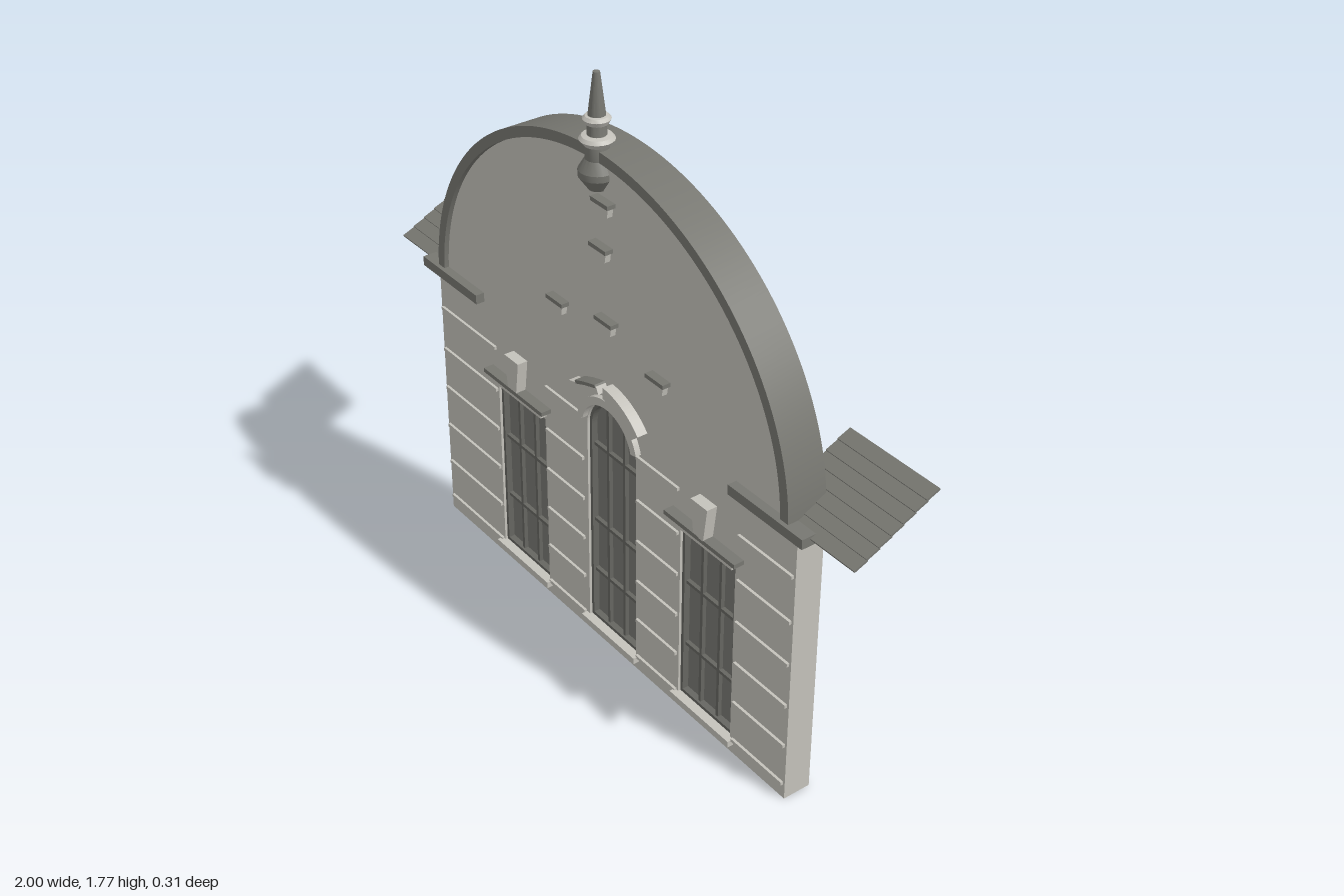
import * as THREE from 'three';
import { toCreasedNormals } from 'three/addons/utils/BufferGeometryUtils.js';

const mat = (name, color) => new THREE.MeshStandardMaterial({ name, color });

export function createModel() {
  const root = new THREE.Group();
  root.name = 'gabledFacade';
  const stone = mat('lightStone', 0xc4c2bb);
  const slate = mat('darkSlate', 0x777771);
  const glass = mat('windowGlass', 0x777772);
  const frame = mat('windowFrame', 0x666661);

  const add = (name, geo, material, parent = root) => {
    const m = new THREE.Mesh(geo, material);
    m.name = name;
    parent.add(m);
    return m;
  };
  // Box from its minimum and maximum corners
  const box = (name, material, x0, x1, y0, y1, z0, z1, parent) => {
    const m = add(name, new THREE.BoxGeometry(x1 - x0, y1 - y0, z1 - z0), material, parent);
    m.position.set((x0 + x1) / 2, (y0 + y1) / 2, (z0 + z1) / 2);
    return m;
  };
  // Shape extruded between two depths
  const slab = (name, material, shape, z0, z1, parent) => {
    const geo = new THREE.ExtrudeGeometry(shape, { depth: z1 - z0, bevelEnabled: false, curveSegments: 40 });
    geo.translate(0, 0, z0);
    return add(name, toCreasedNormals(geo, 0.5), material, parent);
  };
  const poly = (pts) => new THREE.Shape(pts.map(([x, y]) => new THREE.Vector2(x, y)));
  const rect = (x0, x1, y0, y1) => poly([[x0, y0], [x1, y0], [x1, y1], [x0, y1]]);

  const FRONT = 0.105;
  const windows = [
    { name: 'rightWindow', x0: -0.505, x1: -0.27, top: 0.615, bars: [0.22, 0.43] },
    { name: 'centreWindow', x0: -0.067, x1: 0.153, top: 0.82, bars: [0.214, 0.39, 0.647], arch: true },
    { name: 'leftWindow', x0: 0.347, x1: 0.573, top: 0.615, bars: [0.22, 0.43] },
  ];
  const opening = ({ x0, x1, top, arch }, inset = 0) => {
    const a = x0 + inset, b = x1 - inset, y0 = 0.05 + inset;
    if (!arch) return rect(a, b, y0, top - inset);
    const r = (b - a) / 2, spring = top - (x1 - x0) / 2;
    const s = new THREE.Shape();
    s.moveTo(a, y0);
    s.lineTo(b, y0);
    s.lineTo(b, spring);
    s.absarc((a + b) / 2, spring, r, 0, Math.PI, false);
    s.closePath();
    return s;
  };

  // Main wall with three openings
  const wall = rect(-0.8, 0.8, 0, 0.865);
  windows.forEach((w) => wall.holes.push(opening(w)));
  slab('wall', stone, wall, 0.02, FRONT);

  // Rounded gable and its dark rim
  const BASE = 0.865;
  const gable = new THREE.Shape();
  gable.moveTo(0.755, BASE);
  gable.absellipse(0, BASE, 0.755, 0.68, 0, Math.PI, false);
  gable.closePath();
  slab('gable', stone, gable, 0.016, FRONT);
  const rim = new THREE.Shape();
  rim.moveTo(0.78, BASE);
  rim.absellipse(0, BASE, 0.78, 0.705, 0, Math.PI, false);
  rim.lineTo(-0.75, BASE);
  rim.absellipse(0, BASE, 0.75, 0.675, Math.PI, 0, true);
  rim.closePath();
  slab('gableRim', slate, rim, 0, 0.12);

  // Windows: recessed glass, frame, glazing bars and sill
  for (const w of windows) {
    const g = new THREE.Group();
    g.name = w.name;
    root.add(g);
    const { x0, x1, top, arch } = w;
    slab('glass', glass, opening(w), 0.07, 0.078, g);
    const border = opening(w);
    border.holes.push(opening(w, 0.01));
    slab('frame', frame, border, 0.078, 0.097, g);
    for (const t of [1 / 3, 2 / 3]) {
      const x = x0 + (x1 - x0) * t;
      box('verticalBar', frame, x - 0.005, x + 0.005, 0.055, top - (arch ? 0.012 : 0.005), 0.078, 0.09, g);
    }
    for (const y of w.bars) box('crossBar', frame, x0, x1, y - 0.005, y + 0.005, 0.078, 0.09, g);
    box('sill', stone, x0 - 0.014, x1 + 0.014, 0.03, 0.05, FRONT - 0.01, 0.124, g);
    if (arch) continue;
    // Lintel and tapered keystone of the square-headed windows
    const c = (x0 + x1) / 2;
    box('lintel', stone, c - 0.123, c + 0.123, 0.628, 0.65, FRONT - 0.01, 0.126, g);
    box('lintelCap', slate, c - 0.145, c + 0.145, 0.65, 0.663, FRONT - 0.01, 0.137, g);
    slab('keystone', stone, poly([[c - 0.02, 0.66], [c + 0.02, 0.66], [c + 0.034, 0.765], [c - 0.034, 0.765]]),
      FRONT - 0.01, 0.137, g);
  }

  // Moulding over the arched window
  const band = (cx, cy, r0, r1, a0, a1) => {
    const s = new THREE.Shape();
    s.absarc(cx, cy, r1, a0, a1, false);
    s.absarc(cx, cy, r0, a1, a0, true);
    s.closePath();
    return s;
  };
  slab('archMoulding', stone, band(0.043, 0.71, 0.112, 0.136, 0.25, Math.PI - 0.25), FRONT - 0.01, 0.122);
  // Broken curved hood with an upturned left half
  slab('hoodRight', stone, band(0.043, 0.69, 0.175, 0.21, 0.71, 1.54), FRONT - 0.01, 0.137);
  slab('hoodLeft', stone, poly([[-0.105, 0.845], [-0.085, 0.83], [-0.03, 0.85], [0.03, 0.868],
    [0.02, 0.888], [-0.03, 0.872], [-0.085, 0.85]]), FRONT - 0.01, 0.137);
  slab('hoodLeftCap', slate, poly([[-0.07, 0.852], [-0.03, 0.868], [0.02, 0.884], [0.015, 0.892], [-0.035, 0.877],
    [-0.075, 0.861]]), FRONT - 0.01, 0.139);

  // Horizontal courses between the windows
  const spans = [[-0.79, -0.51], [-0.26, -0.083], [0.162, 0.34], [0.585, 0.793]];
  for (const y of [0.05, 0.18, 0.315, 0.452, 0.588, 0.73]) {
    for (const [a, b] of spans) box('course', stone, a, b, y - 0.005, y + 0.005, FRONT - 0.005, 0.113);
  }

  // Small capped brackets on the gable
  for (const [x, y] of [[0.03, 1.43], [0.019, 1.297], [0.04, 1.088], [-0.18, 1.047], [0.26, 1.022]]) {
    box('bracketCap', slate, x - 0.037, x + 0.037, y - 0.001, y + 0.011, FRONT - 0.01, 0.13);
    slab('bracket', stone, poly([[x - 0.024, y - 0.03], [x + 0.024, y - 0.03], [x + 0.029, y], [x - 0.029, y]]),
      FRONT - 0.01, 0.122);
  }

  // Eave blocks and sloping slatted side roofs
  for (const s of [-1, 1]) {
    const side = s > 0 ? 'left' : 'right';
    box(side + 'EaveBlock', slate, Math.min(s * 0.845, s * 0.565), Math.max(s * 0.845, s * 0.565), 0.857, 0.886, 0, 0.132);
    const roof = new THREE.Group();
    roof.name = side + 'SideRoof';
    roof.position.set(s * 0.842, 0.939, -0.025);
    roof.rotation.x = Math.atan2(0.13, 0.26);
    root.add(roof);
    const rows = 7, step = 0.286 / rows;
    for (let i = 0; i < rows; i++) {
      const slat = add('slat', new THREE.BoxGeometry(0.316, 0.006, step + 0.003), slate, roof);
      slat.position.z = (i - (rows - 1) / 2) * step;
      slat.rotation.x = -0.09;
    }
  }

  // Turned finial with pale rings
  const finial = new THREE.Group();
  finial.name = 'finial';
  finial.position.set(-0.008, 0, 0.105);
  root.add(finial);
  const turn = (name, material, pts) => add(name,
    toCreasedNormals(new THREE.LatheGeometry(pts.map(([r, y]) => new THREE.Vector2(r, y)), 20), 0.5), material, finial);
  turn('finialBody', slate, [[0, 1.455], [0.024, 1.455], [0.05, 1.492], [0.05, 1.51], [0.032, 1.54], [0.032, 1.58],
    [0.026, 1.6], [0.024, 1.65], [0.009, 1.772], [0, 1.775]]);
  turn('lowerRing', stone, [[0.025, 1.575], [0.034, 1.577], [0.047, 1.593], [0.04, 1.602], [0.024, 1.605]]);
  turn('upperRing', stone, [[0.022, 1.632], [0.03, 1.635], [0.037, 1.648], [0.03, 1.656], [0.02, 1.658]]);

  return root;
}
